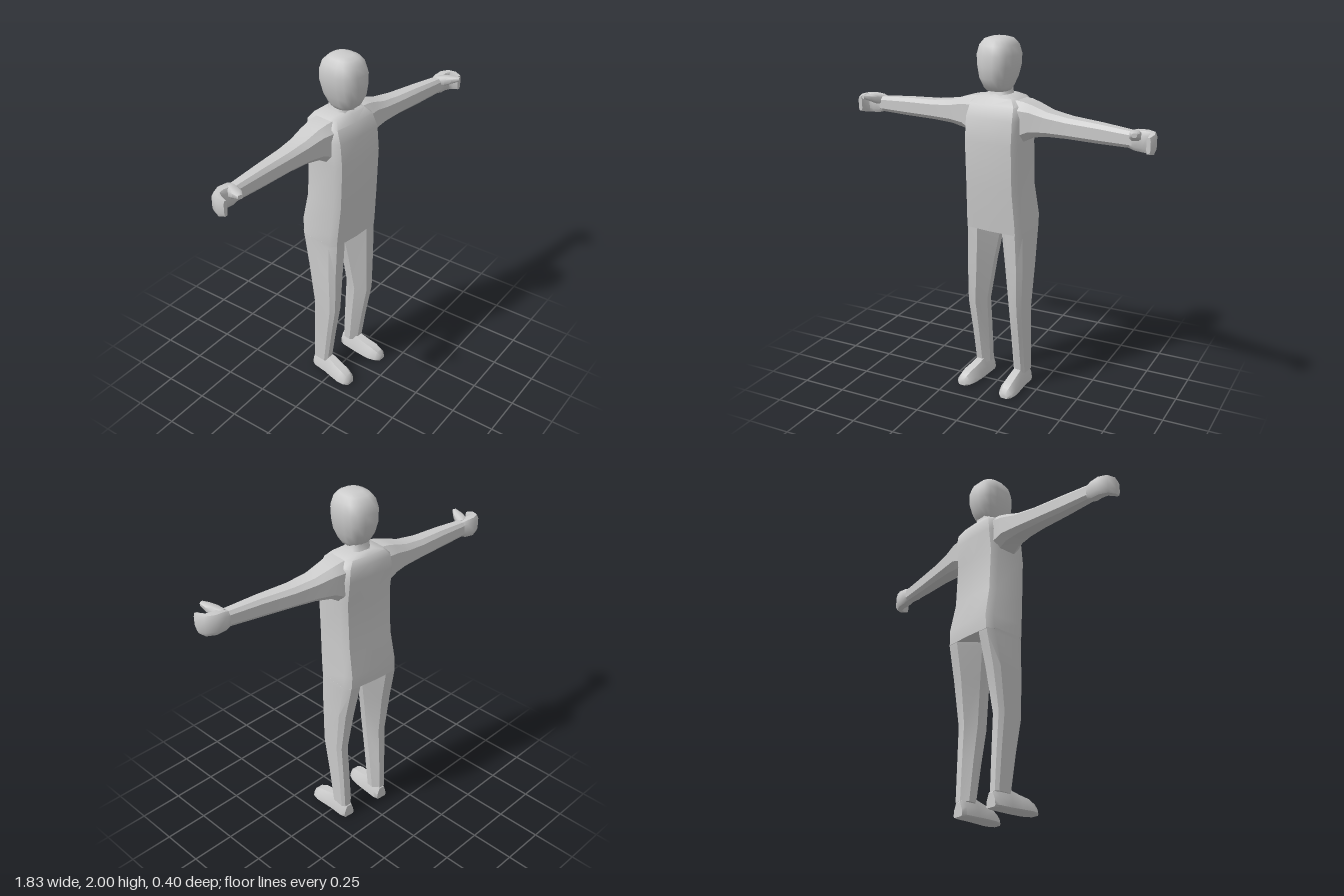
import * as THREE from 'three';
import { toCreasedNormals } from 'three/addons/utils/BufferGeometryUtils.js';

const material = new THREE.MeshStandardMaterial({ color: 0xcccccc });

// Skin a list of equal-length point rings and close both ends; faces always point outwards.
function loft(name, rings, crease = 0.6) {
  const n = rings[0].length, pos = [], idx = [];
  rings.forEach(r => r.forEach(p => pos.push(...p)));
  for (let i = 0; i < rings.length - 1; i++)
    for (let j = 0; j < n; j++) {
      const a = i * n + j, b = i * n + (j + 1) % n;
      idx.push(a, b, b + n, a, b + n, a + n);
    }
  [0, rings.length - 1].forEach(k => {
    const c = pos.length / 3;
    pos.push(...[0, 1, 2].map(d => rings[k].reduce((s, p) => s + p[d], 0) / n));
    for (let j = 0; j < n; j++) {
      const a = k * n + j, b = k * n + (j + 1) % n;
      if (k) idx.push(a, b, c); else idx.push(b, a, c);
    }
  });
  // Signed volume tells whether the winding must be reversed
  const P = i => new THREE.Vector3().fromArray(pos, idx[i] * 3);
  let volume = 0;
  for (let i = 0; i < idx.length; i += 3) volume += P(i).dot(P(i + 1).cross(P(i + 2)));
  if (volume < 0) idx.reverse();
  const g = new THREE.BufferGeometry();
  g.setAttribute('position', new THREE.Float32BufferAttribute(pos, 3));
  g.setIndex(idx);
  const mesh = new THREE.Mesh(toCreasedNormals(g, crease), material);
  mesh.name = name;
  return mesh;
}

// Rounded box outline in 2D: half sizes a, b and n points
function outline(a, b, n = 8, power = 0.6) {
  return Array.from({ length: n }, (_, i) => {
    const t = (i + 0.5) / n * Math.PI * 2, c = Math.cos(t), s = Math.sin(t);
    return [a * Math.sign(c) * Math.abs(c) ** power, b * Math.sign(s) * Math.abs(s) ** power];
  });
}

function torso() {
  // y, half width, front z, back z
  const rows = [
    [0.95, 0.178, 0.068, -0.182], [1.03, 0.175, 0.075, -0.185], [1.2, 0.166, 0.09, -0.152],
    [1.45, 0.166, 0.1, -0.14], [1.58, 0.165, 0.088, -0.155], [1.65, 0.155, 0.06, -0.15],
    [1.685, 0.12, 0.03, -0.13], [1.7, 0.06, 0.01, -0.11],
  ];
  return loft('torso', rows.map(([y, w, f, b]) => {
    const half = [[w * 0.87, f], [w, f - 0.035], [w, b + 0.035], [w * 0.85, b]];
    return [[0, y, f + 0.008], ...half.map(([x, z]) => [x, y, z]), [0, y, b - 0.005],
      ...half.reverse().map(([x, z]) => [-x, y, z])];
  }), 0.75);
}

function head() {
  // y, half width, front z, back z
  const rows = [
    [1.72, 0.058, 0.05, -0.075], [1.74, 0.068, 0.075, -0.1], [1.79, 0.088, 0.1, -0.128],
    [1.85, 0.1, 0.106, -0.144], [1.91, 0.105, 0.104, -0.142], [1.96, 0.093, 0.088, -0.125],
    [1.99, 0.07, 0.062, -0.095], [2.0, 0.04, 0.03, -0.06],
  ];
  return loft('head', rows.map(([y, w, f, b]) =>
    outline(w, (f - b) / 2, 16, 0.75).map(([x, z]) => [x, y, z + (f + b) / 2])), 1.2);
}

function neck() {
  const rows = [[1.67, 0.085, 0.085], [1.7, 0.06, 0.06], [1.76, 0.05, 0.055]];
  return loft('neck', rows.map(([y, w, d]) =>
    outline(w, d).map(([x, z]) => [x, y, z - 0.04])), 1);
}

function leg(s) {
  // y, outer x, inner x, front inner x, front z, back z
  const rows = [
    [0.955, 0.178, 0, 0.09, 0.068, -0.182], [0.93, 0.178, 0.003, 0.091, 0.068, -0.178],
    [0.75, 0.182, 0.035, 0.1, 0.062, -0.14], [0.5, 0.177, 0.072, 0.115, 0.056, -0.102],
    [0.3, 0.17, 0.077, 0.115, 0.02, -0.112], [0.08, 0.165, 0.082, 0.115, -0.015, -0.122],
  ];
  return loft('leg', rows.map(([y, o, i, fi, f, b]) => {
    const e = o - (o - fi) * 0.28, k = (f - b) * 0.16;
    return [[e, f], [fi, f], [i, (f + b) / 2 + 0.02], [i, (f + b) / 2 - 0.02],
      [fi, b], [e, b], [o, b + k], [o, f - k]].map(([x, z]) => [s * x, y, z]);
  }));
}

function foot(s) {
  // z, centre x, half width, height
  const rows = [
    [-0.126, 0.126, 0.034, 0.075], [-0.1, 0.127, 0.044, 0.1], [-0.02, 0.128, 0.047, 0.105],
    [0.04, 0.132, 0.052, 0.088], [0.1, 0.138, 0.054, 0.075], [0.14, 0.142, 0.044, 0.055],
    [0.16, 0.143, 0.024, 0.032],
  ];
  return loft('foot', rows.map(([z, c, w, h]) =>
    [[-w, 0.008], [-w * 0.9, h * 0.5], [-w * 0.45, h], [w * 0.45, h], [w * 0.9, h * 0.5], [w, 0.008],
      [w * 0.8, 0], [-w * 0.8, 0]].map(([x, y]) => [s * (c + x), y, z])), 0.8);
}

function arm(s) {
  // x, bottom y, top y, centre z, half depth
  const rows = [
    [0.1, 1.45, 1.688, -0.04, 0.095], [0.16, 1.455, 1.682, -0.043, 0.094],
    [0.21, 1.487, 1.668, -0.045, 0.085], [0.3, 1.503, 1.638, -0.042, 0.07],
    [0.42, 1.508, 1.622, -0.036, 0.058], [0.6, 1.51, 1.615, -0.022, 0.046],
    [0.79, 1.515, 1.602, -0.01, 0.034],
  ];
  return loft('arm', rows.map(([x, b, t, z, d]) =>
    outline(d, (t - b) / 2).map(([u, v]) => [s * x, (t + b) / 2 + v, z + u])), 0.65);
}

// Sweep a rounded section along a level path of [x, y, z, half thickness, half height]
function curl(name, s, path) {
  return loft(name, path.map(([x, y, z, t, h], i) => {
    const p = path[Math.max(i - 1, 0)], q = path[Math.min(i + 1, path.length - 1)];
    const dx = q[0] - p[0], dz = q[2] - p[2], l = Math.hypot(dx, dz);
    return outline(t, h).map(([u, v]) => [s * (x - dz / l * u), y + v, z + dx / l * u]);
  }), 0.9);
}

function hand(s) {
  const group = new THREE.Group();
  group.name = 'hand';
  group.add(
    curl('palmAndFingers', s, [
      [0.765, 1.558, -0.01, 0.032, 0.042], [0.8, 1.557, -0.014, 0.038, 0.053],
      [0.85, 1.556, -0.018, 0.034, 0.057], [0.888, 1.555, -0.004, 0.026, 0.057],
      [0.902, 1.555, 0.03, 0.02, 0.053], [0.898, 1.555, 0.064, 0.012, 0.043],
    ]),
    curl('thumb', s, [
      [0.795, 1.58, -0.015, 0.026, 0.028], [0.812, 1.588, 0.03, 0.03, 0.028],
      [0.825, 1.598, 0.065, 0.026, 0.02], [0.84, 1.607, 0.105, 0.013, 0.011],
    ]));
  return group;
}

export function createModel() {
  const figure = new THREE.Group();
  figure.name = 'standingFigure';
  figure.add(torso(), neck(), head());
  for (const [side, s] of [['left', 1], ['right', -1]])
    for (const make of [leg, foot, arm, hand]) {
      const part = make(s);
      part.name = side + part.name[0].toUpperCase() + part.name.slice(1);
      figure.add(part);
    }
  // The body is turned slightly, left side forward
  figure.rotation.y = -0.11;
  const model = new THREE.Group();
  model.add(figure);
  return model;
}
